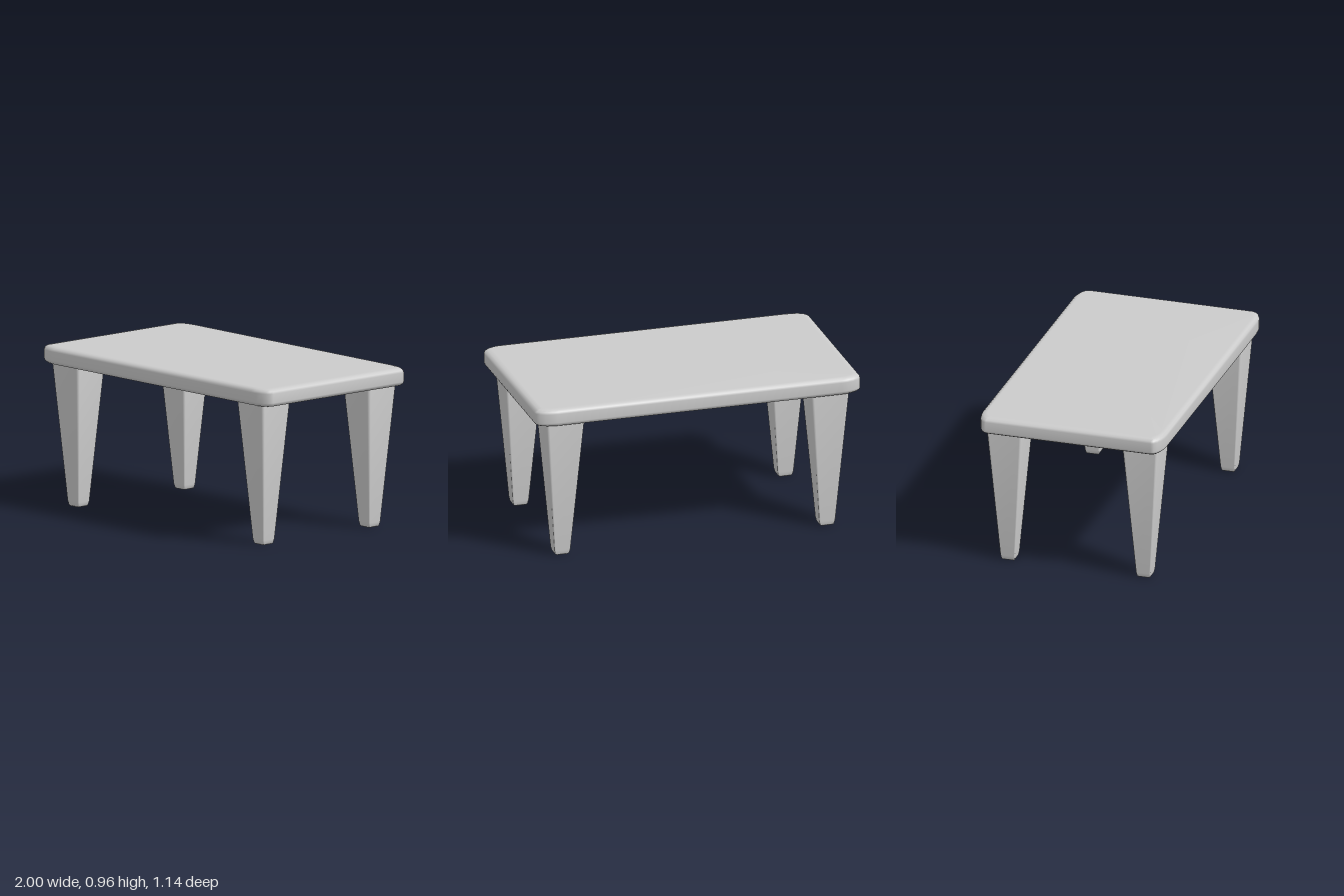
import * as THREE from 'three';

const material = new THREE.MeshStandardMaterial({ color: 0xcccccc });
const CORNER_STEPS = 5;

// Outline of a rectangle with elliptical corners, at one height
function ring([y, hx, hz, rx, rz]) {
  const points = [];
  const signs = [[1, 1], [-1, 1], [-1, -1], [1, -1]];
  signs.forEach(([sx, sz], corner) => {
    for (let i = 0; i <= CORNER_STEPS; i++) {
      const a = (corner + i / CORNER_STEPS) * Math.PI / 2;
      points.push([sx * (hx - rx) + rx * Math.cos(a), y, sz * (hz - rz) + rz * Math.sin(a)]);
    }
  });
  return points;
}

// Closed solid through a stack of outlines, listed from bottom to top
function loft(levels) {
  const rings = levels.map(ring);
  const n = rings[0].length;
  const positions = rings.flat(2);
  const index = [];
  for (let k = 0; k < rings.length - 1; k++) {
    for (let i = 0; i < n; i++) {
      const a = k * n + i, b = k * n + (i + 1) % n;
      index.push(a, a + n, b, b, a + n, b + n);
    }
  }
  // End caps fan out from a centre point
  const last = (rings.length - 1) * n;
  const bottom = rings.length * n, top = bottom + 1;
  positions.push(0, levels[0][0], 0, 0, levels[levels.length - 1][0], 0);
  for (let i = 0; i < n; i++) {
    const j = (i + 1) % n;
    index.push(bottom, i, j, top, last + j, last + i);
  }
  const geometry = new THREE.BufferGeometry();
  geometry.setAttribute('position', new THREE.Float32BufferAttribute(positions, 3));
  geometry.setIndex(index);
  geometry.computeVertexNormals();
  return geometry;
}

export function createModel() {
  const group = new THREE.Group();
  group.name = 'table';

  // Slab with softened rims: height and inset of each level
  const rim = [[0.847, 0.045], [0.852, 0.02], [0.862, 0.005], [0.875, 0],
    [0.929, 0], [0.942, 0.005], [0.952, 0.02], [0.957, 0.045]];
  const tabletop = new THREE.Mesh(
    loft(rim.map(([y, d]) => [y, 1 - d, 0.568 - d * 0.8, 0.13 - d * 0.6, 0.06 - d * 0.5])), material);
  tabletop.name = 'tabletop';
  group.add(tabletop);

  // Square tapered legs with a bevelled foot
  const legGeometry = loft([
    [0, 0.036, 0.036], [0.006, 0.043, 0.04], [0.03, 0.049, 0.045], [0.86, 0.117, 0.11],
  ].map(([y, hx, hz]) => [y, hx, hz, hx * 0.14, hz * 0.14]));
  for (const [side, sx] of [['Left', 1], ['Right', -1]]) {
    for (const [end, sz] of [['front', 1], ['back', -1]]) {
      const leg = new THREE.Mesh(legGeometry, material);
      leg.name = `${end}${side}Leg`;
      leg.position.set(sx * 0.813, 0, sz * 0.418);
      group.add(leg);
    }
  }
  return group;
}
